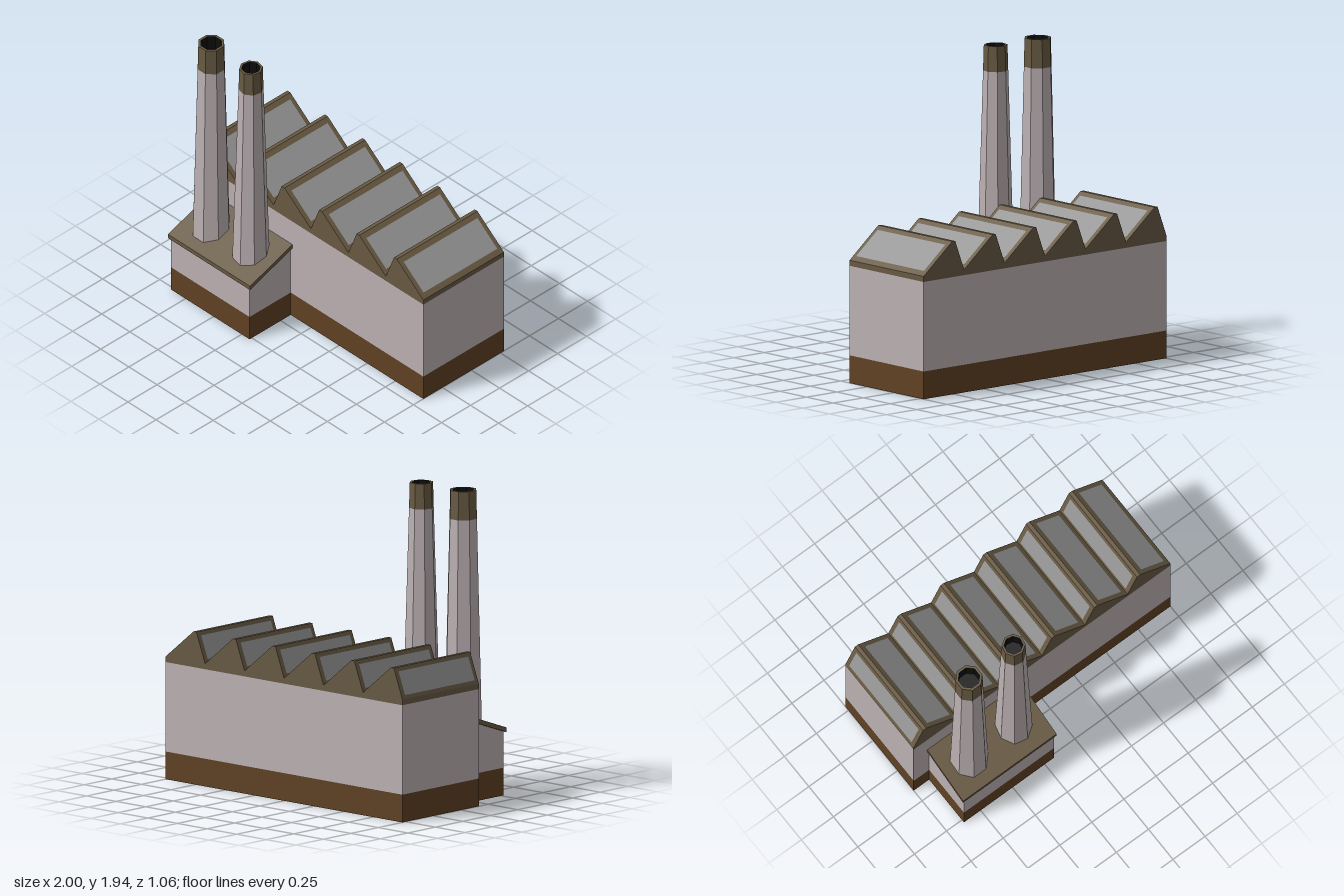
import * as THREE from 'three';

const mat = (name, color) => {
  const m = new THREE.MeshStandardMaterial({ color, side: THREE.DoubleSide, flatShading: true });
  m.name = name;
  return m;
};

// Geometry from a list of four-cornered faces, counter-clockwise from outside
function quads(list) {
  const pos = [];
  for (const [a, b, c, d] of list) pos.push(...a, ...b, ...c, ...a, ...c, ...d);
  const g = new THREE.BufferGeometry();
  g.setAttribute('position', new THREE.Float32BufferAttribute(pos, 3));
  g.computeVertexNormals();
  return g;
}

export function createModel() {
  const model = new THREE.Group();
  const wall = mat('pale wall', 0xbcb1b3);
  const base = mat('brown base', 0x5f4123);
  const roof = mat('olive roof', 0x685a43);
  const glass = mat('grey glass', 0x949494);
  const soot = mat('black soot', 0x0d0d0d);

  const add = (name, geometry, material, parent = model) => {
    const mesh = new THREE.Mesh(geometry, material);
    mesh.name = name;
    parent.add(mesh);
    return mesh;
  };

  const back = -0.53, front = 0.165, baseTop = 0.175, eaves = 0.74;

  // Wall runs of hall and annex: x, z, top height at each end
  const runs = [
    [-1, front, eaves, -0.88, front, eaves],
    [-0.88, front, 0.535, -0.88, 0.52, 0.41],
    [-0.88, 0.52, 0.41, -0.18, 0.52, 0.41],
    [-0.18, 0.52, 0.41, -0.18, front, 0.535],
    [-0.18, front, eaves, 1, front, eaves],
    [1, front, eaves, 1, back, eaves],
    [1, back, eaves, -1, back, eaves],
    [-1, back, eaves, -1, front, eaves],
  ];
  const upper = runs.map(([x0, z0, h0, x1, z1, h1]) =>
    [[x0, baseTop, z0], [x1, baseTop, z1], [x1, h1, z1], [x0, h0, z0]]);
  // Hall wall above the annex opening
  upper.push([[-0.88, 0.535, front], [-0.18, 0.535, front], [-0.18, eaves, front], [-0.88, eaves, front]]);
  add('walls', quads(upper), wall);
  add('baseBand', quads(runs.map(([x0, z0, , x1, z1]) =>
    [[x0, 0, z0], [x1, 0, z1], [x1, baseTop, z1], [x0, baseTop, z0]])), base);

  // Sawtooth roof profile
  const teeth = 6, pitch = 2 / teeth, valley = 0.775, ridge = 0.965;
  const profile = [[-1, valley]];
  for (let i = 0; i < teeth; i++) {
    const x = -1 + i * pitch;
    profile.push([x + 0.073, ridge], [x + 0.098, ridge], [x + pitch, valley]);
  }

  // Gable ends
  const gable = new THREE.Shape([[-1, eaves], ...profile, [1, eaves]].map(p => new THREE.Vector2(...p)));
  add('frontGable', new THREE.ShapeGeometry(gable), roof).position.z = front;
  const rear = add('backGable', new THREE.ShapeGeometry(gable), roof);
  rear.position.z = back;

  // Roof slopes, with a glass plate on each one except the narrow ridges
  const strip = (p, q, zf, zb) => [[...p, zf], [...q, zf], [...q, zb], [...p, zb]];
  const slopes = [
    strip([-1, eaves], [-1, valley], front, back),
    strip([1, valley], [1, eaves], front, back),
  ];
  const panes = [];
  for (let i = 0; i + 1 < profile.length; i++) {
    const p = profile[i], q = profile[i + 1];
    slopes.push(strip(p, q, front, back));
    if (i % 3 === 1) continue;
    const dx = q[0] - p[0], dy = q[1] - p[1], len = Math.hypot(dx, dy);
    const at = t => [p[0] + dx * t - dy / len * 0.003, p[1] + dy * t + dx / len * 0.003];
    panes.push(strip(at(0.12), at(0.87), 0.135, -0.5));
  }
  add('sawtoothRoof', quads(slopes), roof);
  add('roofWindows', quads(panes), glass);

  // Sloping slab over the annex
  const slab = new THREE.Shape([[-0.53, 0.4], [-front, 0.53], [-front, 0.56], [-0.53, 0.43]]
    .map(p => new THREE.Vector2(...p)));
  const slabGeo = new THREE.ExtrudeGeometry(slab, { depth: 0.73, bevelEnabled: false });
  slabGeo.rotateY(Math.PI / 2);
  add('annexRoof', slabGeo, roof).position.x = -0.895;

  // Tapered eight-sided chimneys with a dark cap and sooty flue
  function chimney(name, x, z, rBottom, rTop, capY, turn) {
    const g = new THREE.Group();
    g.name = name;
    g.position.set(x, 0, z);
    g.rotation.y = turn;
    const y0 = 0.44, y1 = 1.935;
    const rCap = rBottom + (rTop - rBottom) * (capY - y0) / (y1 - y0);
    const tube = (part, r1, r0, top, bottom, m) => {
      const geo = new THREE.CylinderGeometry(r1, r0, top - bottom, 8, 1, true);
      add(part, geo, m, g).position.y = (top + bottom) / 2;
    };
    tube('chimneyShaft', rCap, rBottom, capY, y0, wall);
    tube('chimneyCap', rTop, rCap, y1, capY, roof);
    const rIn = rTop * 0.8;
    const rim = add('chimneyRim', new THREE.RingGeometry(rIn, rTop, 8), roof, g);
    rim.rotation.x = -Math.PI / 2;
    rim.position.y = y1;
    tube('flueWall', rIn, rIn, y1, y1 - 0.1, soot);
    const floor = add('flueFloor', new THREE.CircleGeometry(rIn, 8), soot, g);
    floor.rotation.x = -Math.PI / 2;
    floor.position.y = y1 - 0.1;
    model.add(g);
  }
  chimney('rightChimney', -0.705, 0.342, 0.123, 0.086, 1.755, Math.PI / 8);
  chimney('leftChimney', -0.355, 0.338, 0.118, 0.074, 1.775, Math.PI / 16);

  return model;
}
